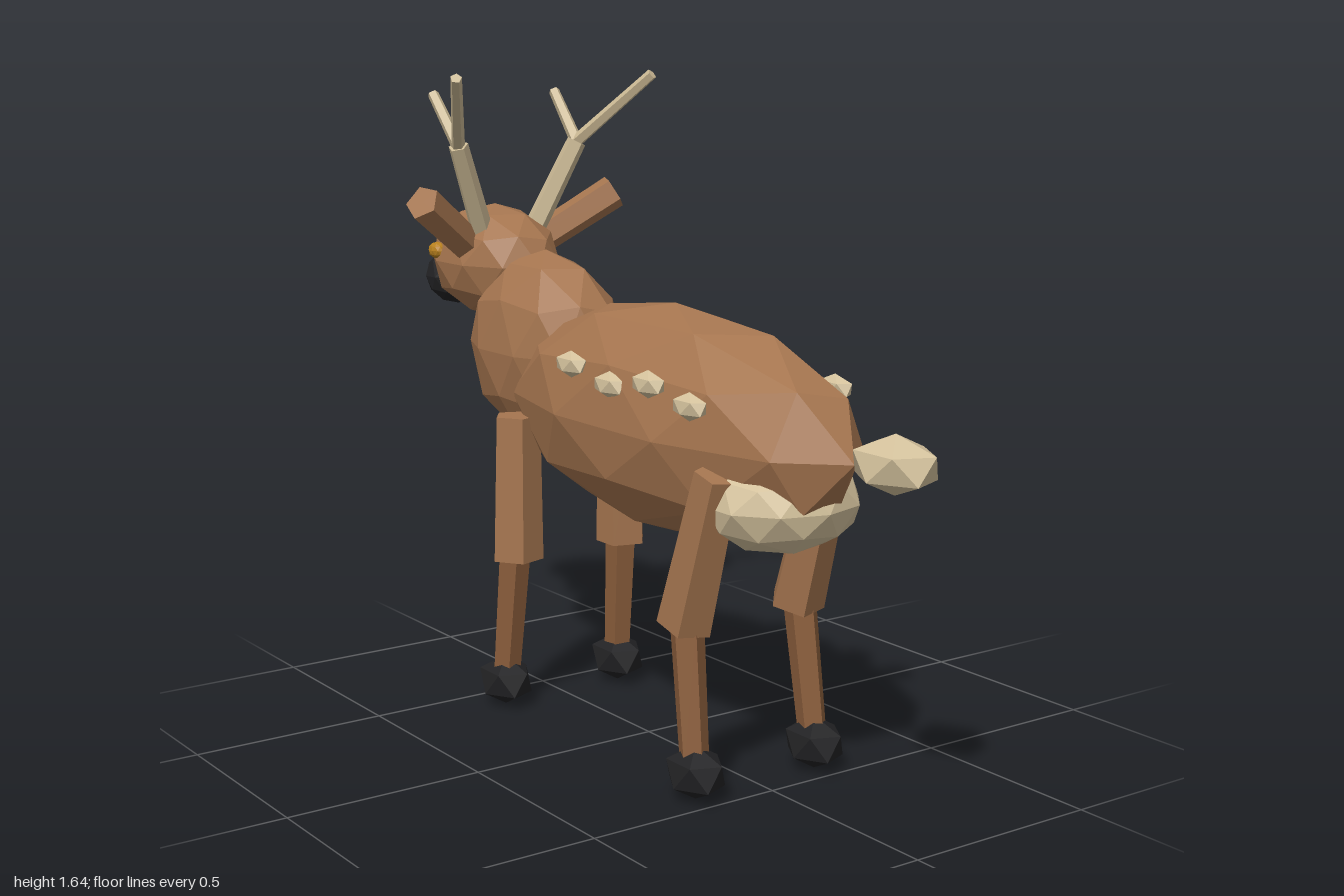
import * as THREE from 'three';

function material(name, color) {
  const m = new THREE.MeshStandardMaterial({ color, flatShading: true });
  m.name = name;
  return m;
}

export function createModel() {
  const model = new THREE.Group();
  model.name = 'deer';

  const fur = material('brown fur', 0xa5754f);
  const darkFur = material('dark brown fur', 0x8b5e3c);
  const cream = material('cream fur', 0xd3c19c);
  const bone = material('antler bone', 0xcbb994);
  const black = material('black hoof', 0x222224);
  const amber = material('amber eye', 0xb8801e);

  // Faceted ball with a corner straight up, stretched to its three radii
  function ball(name, mat, pos, radii, detail) {
    const g = new THREE.IcosahedronGeometry(1, detail);
    g.rotateX(-Math.atan((1 + Math.sqrt(5)) / 2));
    g.rotateY(Math.PI / 2);
    g.scale(...radii);
    g.computeVertexNormals();
    const mesh = new THREE.Mesh(g, mat);
    mesh.name = name;
    mesh.position.set(...pos);
    model.add(mesh);
  }

  // Five-sided tapered rod from a to b
  function rod(name, mat, a, b, ra, rb, turn = 0) {
    const from = new THREE.Vector3(...a);
    const to = new THREE.Vector3(...b);
    const dir = to.clone().sub(from);
    const g = new THREE.CylinderGeometry(rb, ra, dir.length(), 5);
    g.rotateY(turn);
    const mesh = new THREE.Mesh(g, mat);
    mesh.name = name;
    mesh.position.copy(from).add(to).multiplyScalar(0.5);
    mesh.quaternion.setFromUnitVectors(new THREE.Vector3(0, 1, 0), dir.normalize());
    model.add(mesh);
  }

  // Torso, neck, head, nose, tail and pale rump
  ball('body', fur, [0, 0.825, 0.11], [0.228, 0.28, 0.66], 1);
  ball('neck', fur, [0, 0.922, -0.464], [0.165, 0.257, 0.28], 1);
  ball('head', fur, [0, 1.128, -0.716], [0.152, 0.152, 0.225], 1);
  ball('nose', black, [0, 1.067, -0.92], [0.092, 0.079, 0.08], 1);
  ball('tail', cream, [0, 0.85, 0.9], [0.09, 0.067, 0.118], 0);
  ball('rump', cream, [0, 0.7, 0.518], [0.193, 0.12, 0.175], 1);

  const spots = [[0.21, 0.928, 0.453], [0.205, 0.954, 0.287],
    [0.199, 0.928, 0.123], [0.196, 0.954, -0.046]];

  for (const s of [1, -1]) {
    const side = s > 0 ? 'left' : 'right';
    const inward = -s * Math.PI / 2; // turns one corner toward the belly

    // Hind leg
    rod(side + ' hind thigh', fur, [s * 0.16, 0.775, 0.495], [s * 0.164, 0.4, 0.378], 0.055, 0.068, inward);
    rod(side + ' hind shin', darkFur, [s * 0.168, 0.41, 0.388], [s * 0.177, 0.08, 0.432], 0.042, 0.036, inward);
    ball(side + ' hind hoof', black, [s * 0.177, 0.0655, 0.437], [0.07, 0.0655, 0.088], 0);

    // Front leg
    rod(side + ' front thigh', fur, [s * 0.16, 0.775, -0.357], [s * 0.164, 0.4, -0.357], 0.06, 0.068, inward);
    rod(side + ' front shin', darkFur, [s * 0.168, 0.41, -0.365], [s * 0.177, 0.08, -0.397], 0.042, 0.036, inward);
    ball(side + ' front hoof', black, [s * 0.177, 0.0655, -0.4], [0.07, 0.0655, 0.088], 0);

    // Ear and eye
    rod(side + ' ear', fur, [s * 0.1, 1.172, -0.68], [s * 0.296, 1.308, -0.583], 0.045, 0.048);
    ball(side + ' eye', amber, [s * 0.135, 1.155, -0.794], [0.022, 0.023, 0.031], 1);

    // Antler: one stem that forks into two tines
    const fork = [s * 0.182, 1.445, -0.593];
    rod(side + ' antler stem', bone, [s * 0.08, 1.21, -0.65], fork, 0.031, 0.027);
    rod(side + ' rear tine', bone, fork, [s * 0.295, 1.625, -0.403], 0.018, 0.015);
    rod(side + ' front tine', bone, fork, [s * 0.187, 1.575, -0.71], 0.018, 0.015);

    // Flank spots
    for (const [x, y, z] of spots) {
      ball(side + ' spot', cream, [s * x, y, z], [0.03, 0.033, 0.06], 0);
    }
  }
  return model;
}
